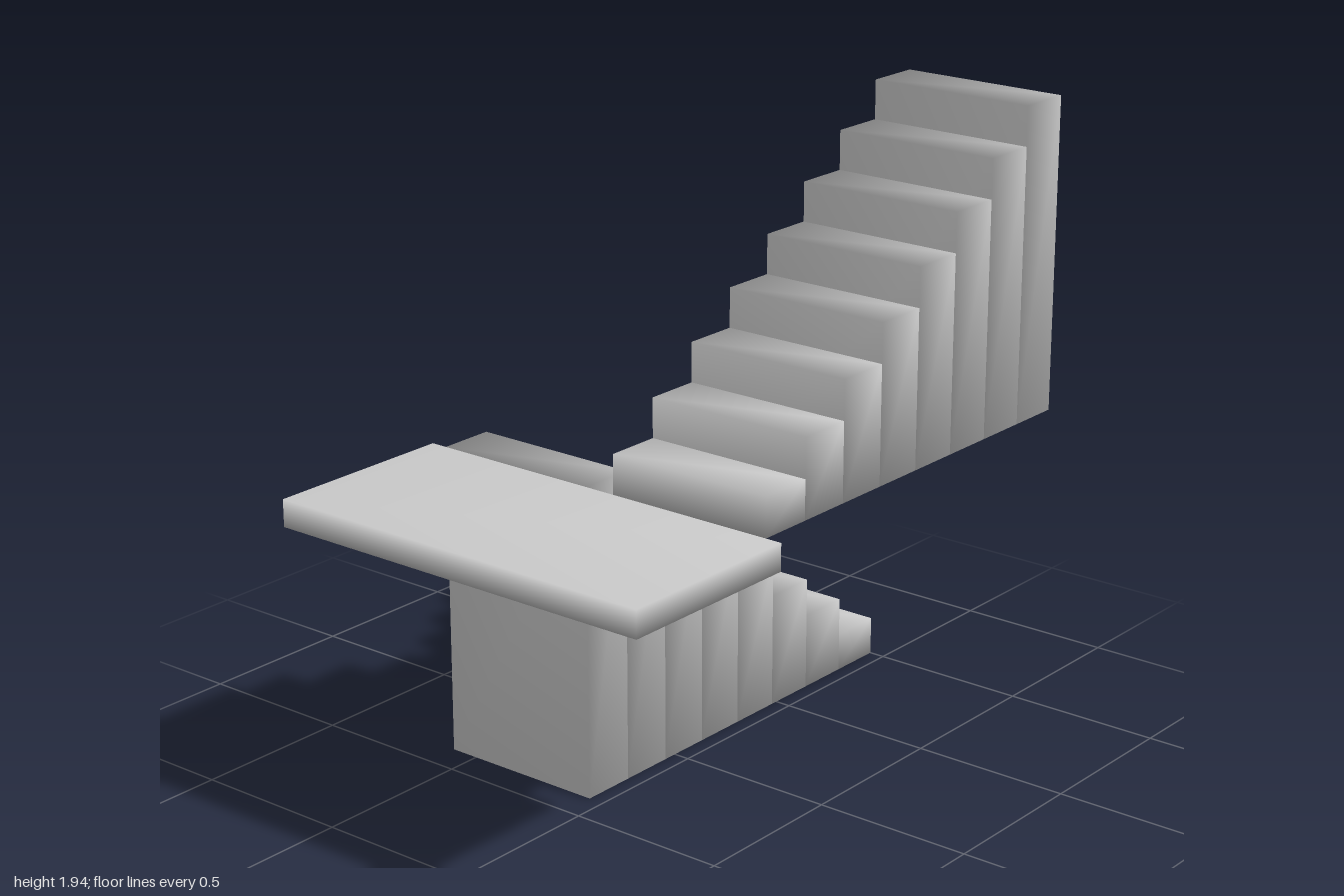
import * as THREE from 'three';
import { mergeVertices } from 'three/addons/utils/BufferGeometryUtils.js';

const STEPS = 8;
const RISE = 0.121;
const FLIGHT_WIDTH = 0.54;
const FLIGHT_X = 0.32;        // centre of each flight, mirrored left and right
const BACK = -1;
const EDGE = 0.393;           // where the flights meet the landing
const TREAD = (EDGE - BACK) / STEPS;
const LANDING_TOP = STEPS * RISE;
const LANDING_THICKNESS = 0.083;

const material = new THREE.MeshStandardMaterial({ color: 0xcccccc });

// Box standing on y = bottom, with normals shared smoothly across its corners
function block(name, width, height, depth, x, bottom, z) {
  const box = new THREE.BoxGeometry(width, height, depth);
  box.deleteAttribute('normal');
  box.deleteAttribute('uv');
  const geometry = mergeVertices(box);
  geometry.computeVertexNormals();
  const mesh = new THREE.Mesh(geometry, material);
  mesh.name = name;
  mesh.position.set(x, bottom + height / 2, z);
  return mesh;
}

// Flight of solid steps; direction is the way it climbs along z
function flight(name, x, bottom, direction) {
  const group = new THREE.Group();
  group.name = name;
  const start = direction > 0 ? BACK : EDGE;
  for (let i = 0; i < STEPS; i++) {
    const z = start + direction * (i + 0.5) * TREAD;
    group.add(block(`step${i + 1}`, FLIGHT_WIDTH, RISE * (i + 1), TREAD, x, bottom, z));
  }
  return group;
}

export function createModel() {
  const model = new THREE.Group();
  model.name = 'staircase';

  // Lower flight climbs forward to the landing, upper flight turns back
  model.add(flight('lowerFlight', -FLIGHT_X, 0, 1));
  model.add(flight('upperFlight', FLIGHT_X, LANDING_TOP, -1));

  // Landing slab joining both flights
  model.add(block('landing', 1.284, LANDING_THICKNESS, 1 - EDGE,
    0, LANDING_TOP - LANDING_THICKNESS, (1 + EDGE) / 2));

  return model;
}
